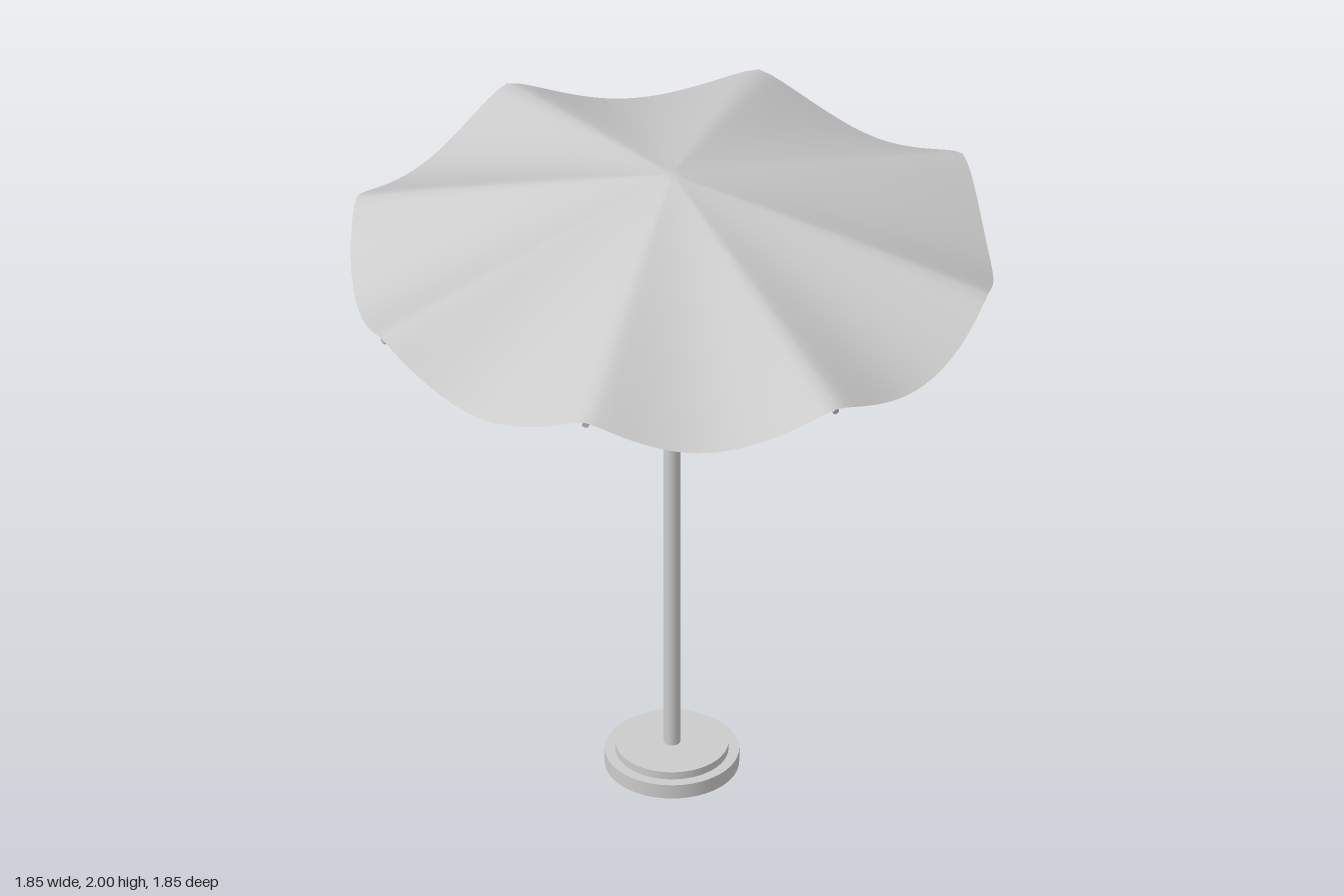
import * as THREE from 'three';
import { mergeVertices } from 'three/addons/utils/BufferGeometryUtils.js';

const RIBS = 8;

// 0 along a rib, 1 midway between two ribs
function sag(angle) {
  const s = Math.abs(Math.sin(angle * RIBS / 2));
  return 1.12 * s * s / (s + 0.12);
}

// Rim radius of the canopy: diagonal tips reach slightly further
function rimRadius(angle) {
  const tip = 0.925 + 0.02 * Math.sin(2 * angle) ** 2;
  return THREE.MathUtils.lerp(tip, 0.902, sag(angle));
}

// Height of the fabric along a rib, t from apex to rim
const ribHeight = (t) => 2 - 0.225 * t - 0.02 * t * t;

export function createModel() {
  const group = new THREE.Group();
  const material = new THREE.MeshStandardMaterial({ color: 0xcccccc });
  const fabric = new THREE.MeshStandardMaterial({ color: 0xcccccc, side: THREE.DoubleSide });

  function add(name, geometry, mat = material) {
    const mesh = new THREE.Mesh(geometry, mat);
    mesh.name = name;
    group.add(mesh);
    return mesh;
  }

  function rod(name, from, to, radius) {
    const mesh = add(name, new THREE.CylinderGeometry(radius, radius, from.distanceTo(to), 10));
    mesh.position.copy(from).lerp(to, 0.5);
    mesh.quaternion.setFromUnitVectors(new THREE.Vector3(0, 1, 0), to.clone().sub(from).normalize());
  }

  // Stepped round base
  add('base', new THREE.CylinderGeometry(0.19, 0.19, 0.045, 48)).position.y = 0.0225;
  add('baseTop', new THREE.CylinderGeometry(0.16, 0.16, 0.025, 48)).position.y = 0.0565;

  // Pole
  add('pole', new THREE.CylinderGeometry(0.024, 0.024, 1.6, 24)).position.y = 0.867;

  // Ribs under the fabric and the struts that hold them
  for (let i = 0; i < RIBS; i++) {
    const angle = i * 2 * Math.PI / RIBS;
    const at = (r, y) => new THREE.Vector3(r * Math.cos(angle), y, r * Math.sin(angle));
    rod('rib', at(0, 1.982), at(rimRadius(angle) - 0.005, 1.743), 0.01);
    rod('strut', at(0.015, 1.66), at(0.18, 1.935), 0.006);
  }

  // Canopy: a disc that slopes down from the apex and sags between the ribs
  const canopy = new THREE.RingGeometry(0, 1, 160, 28);
  canopy.rotateX(-Math.PI / 2);
  const p = canopy.attributes.position;
  for (let i = 0; i < p.count; i++) {
    const t = Math.hypot(p.getX(i), p.getZ(i));
    const angle = Math.atan2(p.getZ(i), p.getX(i));
    const r = t * THREE.MathUtils.lerp(0.925, rimRadius(angle), t);
    const y = ribHeight(t) - 0.1 * t ** 1.6 * sag(angle);
    p.setXYZ(i, r * Math.cos(angle), y, r * Math.sin(angle));
  }
  canopy.deleteAttribute('uv');
  canopy.deleteAttribute('normal');
  const smooth = mergeVertices(canopy, 1e-5);
  smooth.computeVertexNormals();
  add('canopy', smooth, fabric);

  return group;
}
